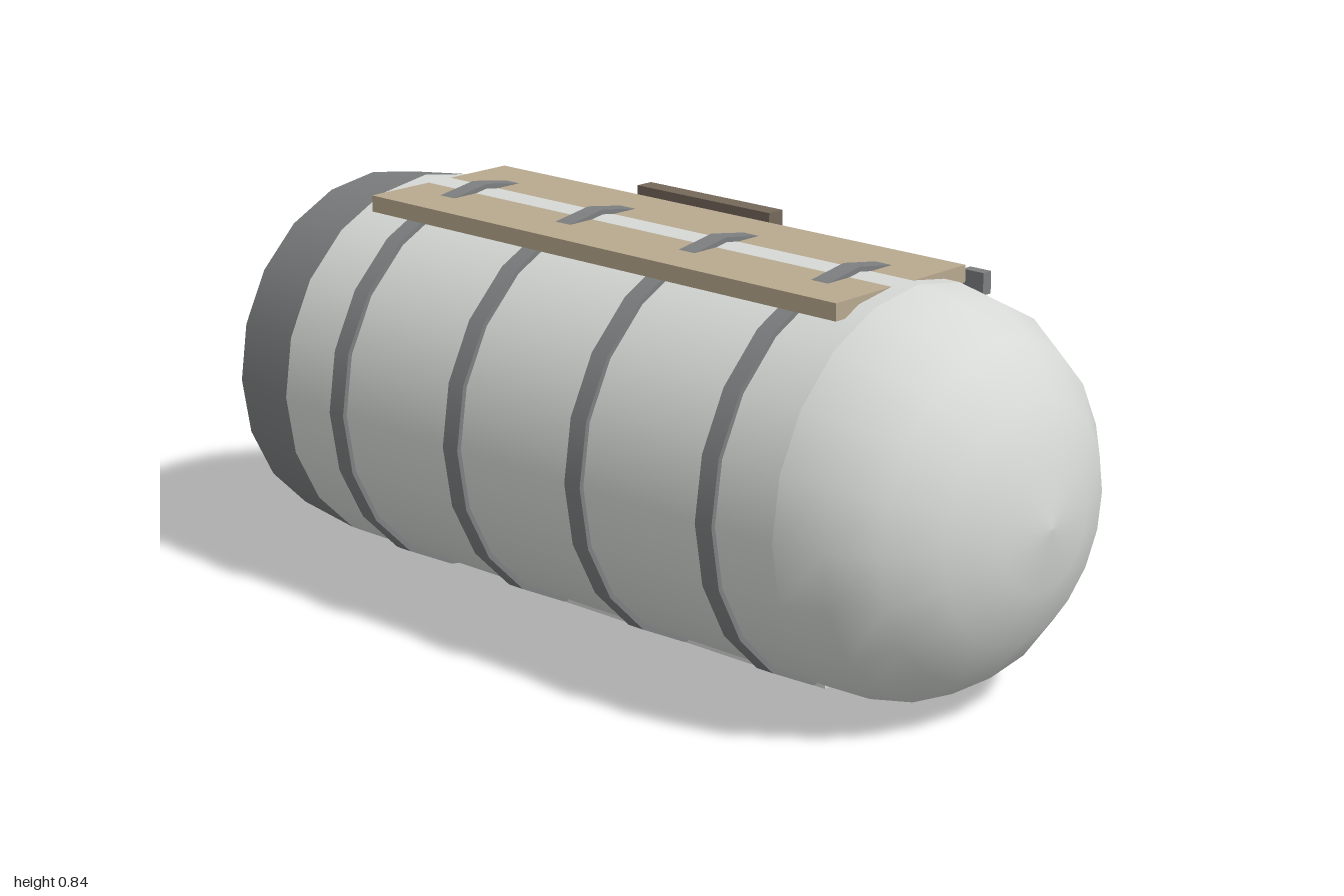
import * as THREE from 'three';

const mat = (name, color) => {
  const m = new THREE.MeshStandardMaterial({ color });
  m.name = name;
  return m;
};

export function createModel() {
  const group = new THREE.Group();
  const hull = mat('hull light grey', 0xd6d9d6);
  const steel = mat('steel grey', 0x7d7f80);
  const dark = mat('dark charcoal', 0x3a3942);
  const tan = mat('tan panel', 0xb9a98f);
  const brown = mat('brown box', 0x75685a);

  const CX = -0.24, CY = 0.42, R = 0.41, SIDES = 20;

  const add = (name, geo, material, x = 0, y = 0, z = 0) => {
    const mesh = new THREE.Mesh(geo, material);
    mesh.name = name;
    mesh.position.set(x, y, z);
    group.add(mesh);
    return mesh;
  };
  // Box given by its limits on each axis
  const box = (name, material, x0, x1, y0, y1, z0, z1) =>
    add(name, new THREE.BoxGeometry(x1 - x0, y1 - y0, z1 - z0), material,
      (x0 + x1) / 2, (y0 + y1) / 2, (z0 + z1) / 2);
  // Drum lying along z on the hull axis
  const drum = (name, material, rFront, rBack, zFront, zBack, sides = SIDES) =>
    add(name, new THREE.CylinderGeometry(rFront, rBack, zFront - zBack, sides).rotateX(Math.PI / 2),
      material, CX, CY, (zFront + zBack) / 2);

  // Hull cylinder and rounded nose
  drum('hull', hull, R, R, 0.67, -0.7);
  const profile = [];
  for (let i = 0; i <= 5; i++) {
    const a = (i * Math.PI) / 10;
    profile.push(new THREE.Vector2(i === 5 ? 0 : R * Math.cos(a), 0.33 * Math.sin(a)));
  }
  add('noseDome', new THREE.LatheGeometry(profile, SIDES).rotateX(Math.PI / 2), hull, CX, CY, 0.67);

  // Tail collar and engine cone
  drum('tailCollar', steel, R, 0.39, -0.7, -0.87);
  drum('engineCone', dark, 0.32, 0.255, -0.87, -1, 16);

  // Hoops around the hull
  for (const z of [0.507, 0.162, -0.183, -0.528]) {
    drum('hoop', steel, 0.42, 0.42, z + 0.021, z - 0.021);
  }

  // Roof panel, just pierced by the hull ridge and hoops, and belly plate
  box('roofPanel', tan, -0.432, -0.048, 0.79, 0.825, -0.655, 0.632);
  box('bellyPlate', hull, CX - 0.118, CX + 0.118, 0.015, 0.05, -0.308, 0.549);

  // Side doorway, overhead locker, lamp and control buttons
  box('doorway', dark, 0.15, 0.1737, 0.23, 0.658, -0.247, 0.402);
  box('locker', brown, 0.126, 0.168, 0.66, 0.788, -0.418, -0.032);
  box('lamp', steel, 0.161, 0.186, 0.7, 0.747, 0.461, 0.514);
  for (let i = 0; i < 3; i++) {
    const z = -0.258 - i * 0.069;
    box('button', dark, 0.152, 0.175, 0.554, 0.596, z - 0.021, z + 0.021);
  }

  // Lowered loading ramp
  const ramp = add('ramp', new THREE.BoxGeometry(0.43, 0.031, 0.645), steel, 0.448, 0.185, 0.115);
  ramp.rotation.z = -THREE.MathUtils.degToRad(20);

  return group;
}
